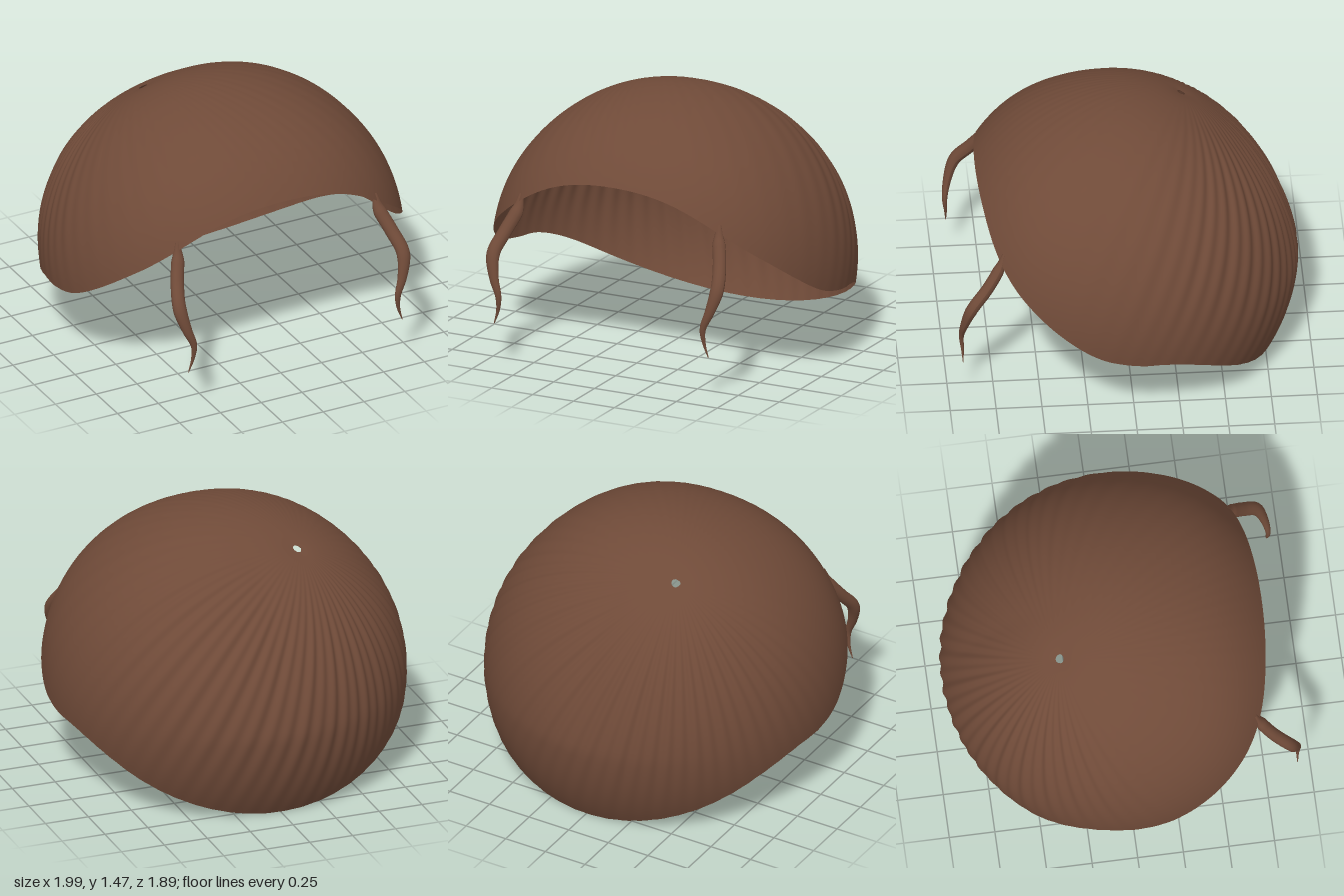
import * as THREE from 'three';

const hairBrown = new THREE.MeshStandardMaterial({ color: 0x6f4a38, side: THREE.DoubleSide });
hairBrown.name = 'hairBrown';

const CENTRE = new THREE.Vector3(0, 0.5, 0.05);
// Height of the cap's lower rim against z, from back to front
const RIM = [[-0.95, -0.14], [-0.82, 0], [-0.6, 0.19], [-0.4, 0.33], [-0.2, 0.41], [0, 0.435], [0.2, 0.485],
  [0.4, 0.6], [0.6, 0.76], [0.69, 0.86], [0.75, 0.96], [0.81, 1.1], [0.9, 1.28]];

// Smooth curve through the rim points
function rimHeight(z) {
  let i = 0;
  while (i < RIM.length - 2 && z > RIM[i + 1][0]) i++;
  const slope = (k) => {
    const a = RIM[Math.max(0, k - 1)], b = RIM[Math.min(RIM.length - 1, k + 1)];
    return (b[1] - a[1]) / (b[0] - a[0]);
  };
  const [z0, y0] = RIM[i], [z1, y1] = RIM[i + 1];
  const w = z1 - z0, t = THREE.MathUtils.clamp((z - z0) / w, 0, 1), s = 1 - t;
  return y0 * (1 + 2 * t) * s * s + y1 * t * t * (3 - 2 * t)
    + w * (slope(i) * t * s * s - slope(i + 1) * t * t * s);
}

// Distance from the centre to the skull surface
function skullRadius(d) {
  const n = 2 + 0.12 * THREE.MathUtils.smoothstep(d.z, 0, 0.6);
  const rz = d.z > 0 ? 0.94 : 0.995;
  const sum = Math.abs(d.x / 0.995) ** n + Math.abs(d.y / 0.975) ** n + Math.abs(d.z / rz) ** n;
  // slight flattening of the upper back
  const flat = 0.15 * Math.max(0, d.y) * Math.min(0, d.z) ** 2 * (1 - Math.abs(d.x));
  return sum ** (-1 / n) * (1 - flat);
}

// Direction to the rim at a given heading, found by bisection
function rimDirection(a) {
  const d = new THREE.Vector3();
  let lo = 0.2, hi = 1.3;
  for (let k = 0; k < 30; k++) {
    const rho = (lo + hi) / 2, z = rho * Math.cos(a);
    d.set(rho * Math.sin(a), rimHeight(z + CENTRE.z) - CENTRE.y, z);
    const len = d.length();
    d.normalize();
    if (len < skullRadius(d)) lo = rho; else hi = rho;
  }
  return d;
}

// Cap of combed locks fanning from an off-centre crown down to the rim
function capGeometry() {
  const around = 480, down = 44;
  const crown = new THREE.Vector3(-0.3, 0.87, -0.4).normalize();
  const pos = [], index = [];
  for (let i = 0; i < around; i++) {
    const a = i / around * Math.PI * 2;
    const rim = rimDirection(a);
    const angle = crown.angleTo(rim);
    const back = THREE.MathUtils.smoothstep(-Math.cos(a), -0.55, 0.5);
    const wave = Math.sin(58 * a + 2.2 * Math.sin(3 * a)) + 0.4 * Math.sin(31 * a + 1);
    for (let j = 0; j <= down; j++) {
      const t = 0.016 + 0.984 * j / down;
      const d = crown.clone().multiplyScalar(Math.sin((1 - t) * angle))
        .addScaledVector(rim, Math.sin(t * angle)).normalize();
      // grooves are deepest half way down and soften at crown and rim
      const depth = 0.0055 * (0.1 + 0.9 * back) * THREE.MathUtils.smoothstep(t, 0.05, 0.5)
        * (1 - 0.85 * THREE.MathUtils.smoothstep(t, 0.65, 1));
      const r = skullRadius(d) + depth * (wave - 0.3) - 0.015 * Math.exp(-t * 25);
      pos.push(d.x * r + CENTRE.x, d.y * r + CENTRE.y, d.z * r + CENTRE.z);
      if (j < down) {
        const p = i * (down + 1) + j, q = ((i + 1) % around) * (down + 1) + j;
        index.push(p, p + 1, q, q, p + 1, q + 1);
      }
    }
  }
  const g = new THREE.BufferGeometry();
  g.setAttribute('position', new THREE.Float32BufferAttribute(pos, 3));
  g.setIndex(index);
  g.computeVertexNormals();
  return g;
}

// Wavy loose strand, tapering to points
function strandGeometry(side) {
  const path = new THREE.CatmullRomCurve3([
    [0.605, 0.945, 0.695], [0.615, 0.86, 0.72], [0.655, 0.75, 0.79], [0.685, 0.64, 0.875],
    [0.66, 0.52, 0.915], [0.625, 0.42, 0.93], [0.63, 0.34, 0.925], [0.655, 0.26, 0.922],
  ].map(([x, y, z]) => new THREE.Vector3(side * x, y, z)));
  const steps = 48, sides = 14;
  const g = new THREE.TubeGeometry(path, steps, 1, sides);
  const p = g.attributes.position, v = new THREE.Vector3();
  for (let i = 0; i <= steps; i++) {
    const u = i / steps, c = path.getPointAt(u);
    const r = 0.038 * Math.min(1, 0.3 + u * 5) * Math.min(1, 0.06 + (1 - u) * 1.9);
    for (let k = 0; k <= sides; k++) {
      const n = i * (sides + 1) + k;
      v.fromBufferAttribute(p, n).sub(c).multiplyScalar(r);
      v.z *= 0.8;
      v.add(c);
      p.setXYZ(n, v.x, v.y, v.z);
    }
  }
  g.computeVertexNormals();
  return g;
}

export function createModel() {
  const model = new THREE.Group();
  model.name = 'hair';
  const add = (name, geometry) => {
    const mesh = new THREE.Mesh(geometry, hairBrown);
    mesh.name = name;
    model.add(mesh);
  };
  add('hairCap', capGeometry());
  add('leftStrand', strandGeometry(1));
  add('rightStrand', strandGeometry(-1));
  return model;
}
